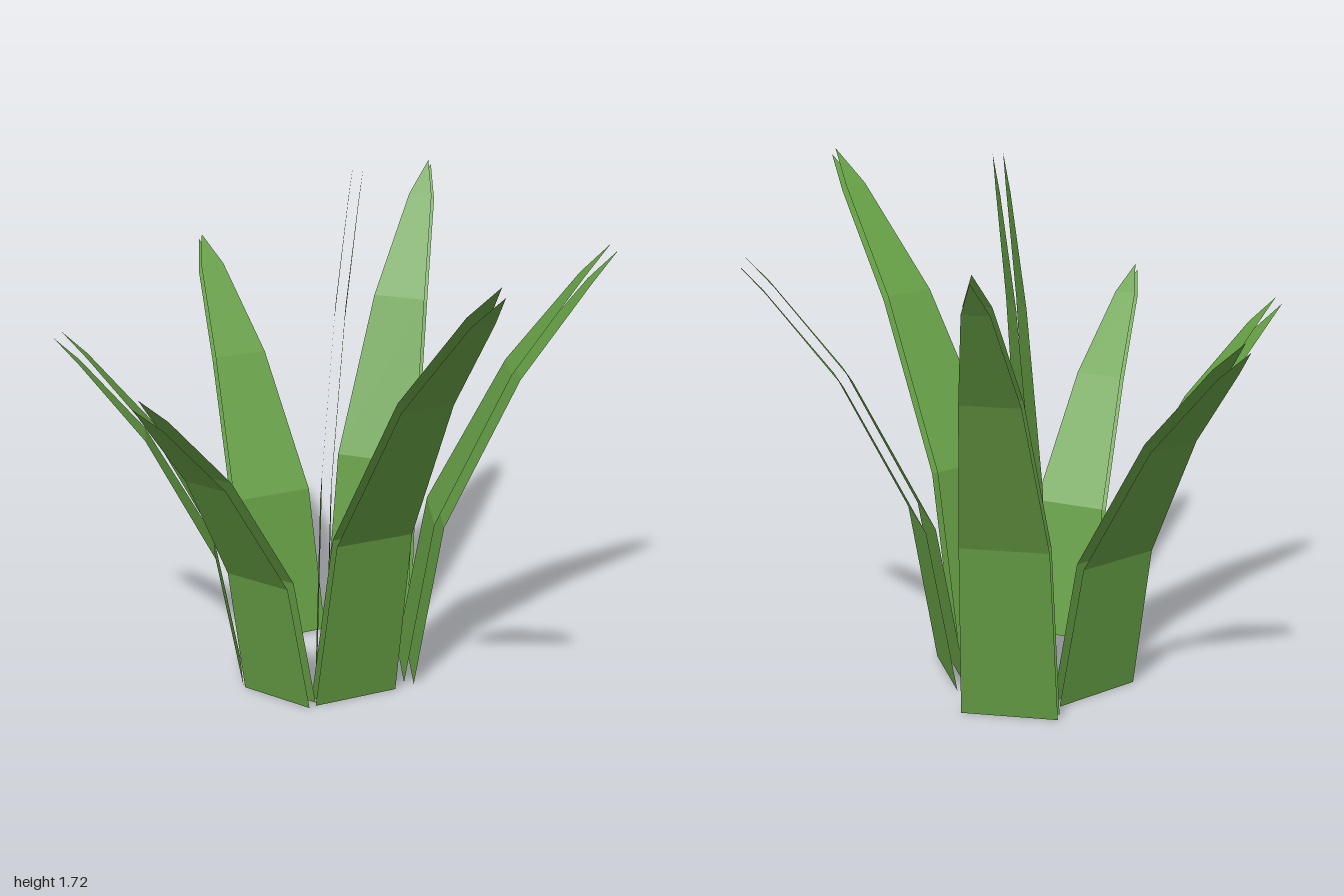
import * as THREE from 'three';

const GAP = 0.033; // distance between the two skins of a blade
const STEPS = [0, 0.38, 0.72, 0.93, 1]; // bend positions along a blade
const WIDTHS = [1, 0.91, 0.6, 0.27, 0]; // taper at each bend

const leafMaterial = new THREE.MeshStandardMaterial({
  color: 0x669f45, flatShading: true, side: THREE.DoubleSide,
});

// Bent, pointed strip; the profile is in x/y and the width runs along z
function skinGeometry(profile, halfWidth, outward) {
  const positions = [];
  const index = [];
  profile.forEach((p, i) => {
    const w = halfWidth * WIDTHS[i];
    positions.push(p.x, p.y, w, p.x, p.y, -w);
    if (i === 0) return;
    const a = 2 * i - 2, b = a + 1, c = a + 2, d = a + 3;
    const faces = i === profile.length - 1 ? [[a, b, c]] : [[a, b, c], [b, d, c]];
    for (const [p0, p1, p2] of faces) {
      if (outward) index.push(p0, p1, p2);
      else index.push(p0, p2, p1);
    }
  });
  const geometry = new THREE.BufferGeometry();
  geometry.setAttribute('position', new THREE.Float32BufferAttribute(positions, 3));
  geometry.setIndex(index);
  const flat = geometry.toNonIndexed();
  flat.computeVertexNormals();
  return flat;
}

// One blade: an inner skin that arcs outward and an outer skin offset from it
function createBlade({ x, z, angle, lean, height, halfWidth }) {
  const inner = STEPS.map((t) => new THREE.Vector2(lean * t * t, height * t));
  const outer = inner.map((p, i) => {
    const before = inner[Math.max(i - 1, 0)];
    const after = inner[Math.min(i + 1, inner.length - 1)];
    const normal = new THREE.Vector2();
    for (const [s, e] of [[before, p], [p, after]]) {
      const d = e.clone().sub(s).normalize();
      normal.add(new THREE.Vector2(d.y, -d.x));
    }
    return p.clone().addScaledVector(normal.normalize(), GAP);
  });

  const blade = new THREE.Group();
  for (const [name, profile, outward] of [['innerSkin', inner, false], ['outerSkin', outer, true]]) {
    const skin = new THREE.Mesh(skinGeometry(profile, halfWidth, outward), leafMaterial);
    skin.name = name;
    blade.add(skin);
  }
  // Rest the lower edge of the outer skin on the ground
  blade.position.set(x, -outer[0].y, z);
  blade.rotation.y = -THREE.MathUtils.degToRad(angle);
  return blade;
}

export function createModel() {
  const plant = new THREE.Group();
  plant.name = 'plant';

  // Base position, outward heading in degrees (0 = +x, 90 = +z), lean and size
  const blades = {
    centreBlade: { x: -0.07, z: -0.045, angle: 0, lean: 0.12, height: 1.72, halfWidth: 0.145 },
    leftBlade: { x: 0.213, z: -0.07, angle: -4, lean: 0.66, height: 1.445, halfWidth: 0.148 },
    frontLeftBlade: { x: 0.05, z: 0.156, angle: 62.5, lean: 0.9, height: 1.57, halfWidth: 0.146 },
    frontRightBlade: { x: -0.174, z: 0.164, angle: 125.8, lean: 0.664, height: 1.165, halfWidth: 0.134 },
    rightBlade: { x: -0.288, z: -0.02, angle: 174, lean: 0.59, height: 1.19, halfWidth: 0.117 },
    backRightBlade: { x: -0.187, z: -0.3, angle: -118, lean: 0.66, height: 1.295, halfWidth: 0.156 },
    backLeftBlade: { x: 0.095, z: -0.414, angle: -69, lean: 0.59, height: 1.55, halfWidth: 0.155 },
  };
  for (const [name, options] of Object.entries(blades)) {
    const blade = createBlade(options);
    blade.name = name;
    plant.add(blade);
  }
  return plant;
}
